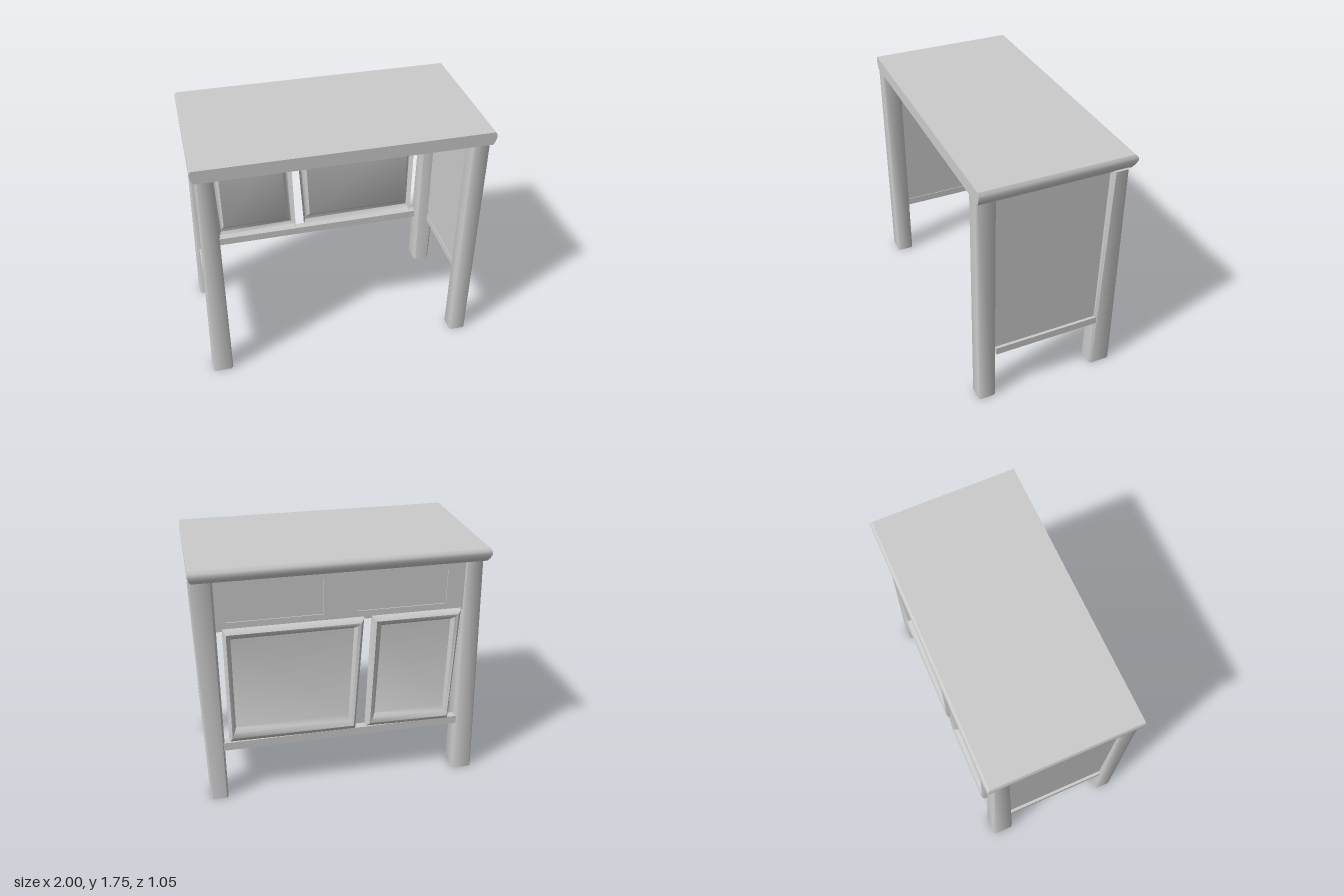
import * as THREE from 'three';
import { toCreasedNormals } from 'three/addons/utils/BufferGeometryUtils.js';

const material = new THREE.MeshStandardMaterial({ color: 0xcccccc, side: THREE.DoubleSide });

function add(parent, name, geometry) {
  const mesh = new THREE.Mesh(geometry, material);
  mesh.name = name;
  parent.add(mesh);
  return mesh;
}

// Box given by its limits on each axis
function box(parent, name, x0, x1, y0, y1, z0, z1) {
  const mesh = add(parent, name, new THREE.BoxGeometry(x1 - x0, y1 - y0, z1 - z0));
  mesh.position.set((x0 + x1) / 2, (y0 + y1) / 2, (z0 + z1) / 2);
}

// Post with softened corners running between two rectangles [x0, x1, z0, z1]
function post(parent, name, bottom, top, height) {
  const c = 0.1;
  const shape = new THREE.Shape([
    [c, 0], [1 - c, 0], [1, c], [1, 1 - c], [1 - c, 1], [c, 1], [0, 1 - c], [0, c],
  ].map(([x, y]) => new THREE.Vector2(x, y)));
  const geometry = new THREE.ExtrudeGeometry(shape, { depth: 1, bevelEnabled: false });
  const p = geometry.attributes.position;
  for (let i = 0; i < p.count; i++) {
    const u = p.getX(i), v = 1 - p.getY(i), t = p.getZ(i);
    const r = bottom.map((b, k) => b + (top[k] - b) * t);
    p.setXYZ(i, r[0] + (r[1] - r[0]) * u, t * height, r[2] + (r[3] - r[2]) * v);
  }
  add(parent, name, toCreasedNormals(geometry, 0.9));
}

// Door: a rounded moulding lofted between two four-cornered outlines, plus a flat panel
function door(parent, name, outer, inner) {
  const profile = [[0, -0.45], [0.12, -0.482], [0.4, -0.5], [0.7, -0.49], [1, -0.46]];
  const loops = profile.map(([t, z]) => outer.map(([x, y], i) =>
    [x + (inner[i][0] - x) * t, y + (inner[i][1] - y) * t, z]));
  const pos = [];
  const quad = (a, b, c, d) => pos.push(...a, ...b, ...c, ...a, ...c, ...d);
  for (let k = 0; k < loops.length - 1; k++) {
    for (let i = 0; i < 4; i++) {
      const j = (i + 1) % 4;
      quad(loops[k][i], loops[k + 1][i], loops[k + 1][j], loops[k][j]);
    }
  }
  const last = loops[loops.length - 1];
  quad(last[0], last[3], last[2], last[1]);
  // Corners run anticlockwise from the front, so flip to face the back
  for (let i = 0; i < pos.length; i += 9) {
    const a = [pos[i + 1] - pos[i + 4], pos[i] - pos[i + 3]];
    const b = [pos[i + 1] - pos[i + 7], pos[i] - pos[i + 6]];
    if (a[1] * b[0] - a[0] * b[1] > 0) {
      for (let k = 0; k < 3; k++) [pos[i + 3 + k], pos[i + 6 + k]] = [pos[i + 6 + k], pos[i + 3 + k]];
    }
  }
  const geometry = new THREE.BufferGeometry();
  geometry.setAttribute('position', new THREE.Float32BufferAttribute(pos, 3));
  add(parent, name, toCreasedNormals(geometry, 0.7));
}

function rect(Type, x0, x1, y0, y1) {
  return new Type([[x0, y0], [x1, y0], [x1, y1], [x0, y1]].map(([x, y]) => new THREE.Vector2(x, y)));
}

export function createModel() {
  const group = new THREE.Group();

  // Table top: moulded on the sides and back, square at the front
  const levels = [[1.66, 0.02], [1.685, 0.008], [1.715, 0], [1.735, 0.002], [1.752, 0.012]];
  const topGeometry = new THREE.BoxGeometry(1, 1, 1, 1, levels.length - 1, 1);
  const p = topGeometry.attributes.position;
  for (let i = 0; i < p.count; i++) {
    const [y, inset] = levels[Math.round((p.getY(i) + 0.5) * (levels.length - 1))];
    const x = Math.sign(p.getX(i)) * (0.995 - inset);
    const z = p.getZ(i) > 0 ? 0.525 : -0.527 + inset * 1.6;
    p.setXYZ(i, x, y, z);
  }
  add(group, 'tableTop', toCreasedNormals(topGeometry, 0.75));

  // Legs, slightly uneven in their taper
  post(group, 'frontRightLeg', [-0.995, -0.85, 0.4, 0.525], [-0.96, -0.85, 0.395, 0.525], 1.665);
  post(group, 'frontLeftLeg', [0.835, 0.955, 0.4, 0.525], [0.84, 0.955, 0.395, 0.525], 1.665);
  post(group, 'backRightLeg', [-1, -0.85, -0.5, -0.34], [-0.96, -0.84, -0.47, -0.365], 1.665);
  post(group, 'backLeftLeg', [0.835, 0.96, -0.5, -0.34], [0.84, 0.995, -0.47, -0.365], 1.665);

  // Side panels with a rail under each
  for (const [side, s] of [['left', 1], ['right', -1]]) {
    const span = (a, b) => (s > 0 ? [a, b] : [-b, -a]);
    box(group, side + 'Panel', ...span(0.925, 0.945), 0.42, 1.665, -0.37, 0.42);
    box(group, side + 'Rail', ...span(0.92, 0.965), 0.4, 0.455, -0.37, 0.4);
  }

  // Drawer apron across the back, with two recessed drawer fronts
  const drawers = [[-0.72, -0.1], [0.13, 0.77]];
  const apron = rect(THREE.Shape, -0.85, 0.85, 1.3, 1.665);
  for (const [x0, x1] of drawers) apron.holes.push(rect(THREE.Path, x0, x1, 1.36, 1.61));
  const apronMesh = add(group, 'apron', new THREE.ExtrudeGeometry(apron, { depth: 0.02, bevelEnabled: false }));
  apronMesh.position.z = -0.46;
  box(group, 'drawerBacking', -0.85, 0.85, 1.3, 1.665, -0.44, -0.43);
  for (const [x0, x1] of drawers) box(group, 'drawerFront', x0, x1, 1.36, 1.61, -0.453, -0.44);

  // Rail beneath the doors
  box(group, 'backRail', -0.86, 0.85, 0.395, 0.455, -0.485, -0.43);

  // Pair of doors, narrow and wide, slightly askew
  door(group, 'narrowDoor',
    [[-0.79, 0.43], [-0.17, 0.45], [-0.2, 1.32], [-0.83, 1.32]],
    [[-0.75, 0.55], [-0.24, 0.55], [-0.27, 1.24], [-0.76, 1.24]]);
  door(group, 'wideDoor',
    [[-0.1, 0.435], [0.8, 0.45], [0.8, 1.32], [-0.15, 1.32]],
    [[-0.05, 0.56], [0.75, 0.56], [0.75, 1.24], [-0.08, 1.24]]);

  return group;
}
